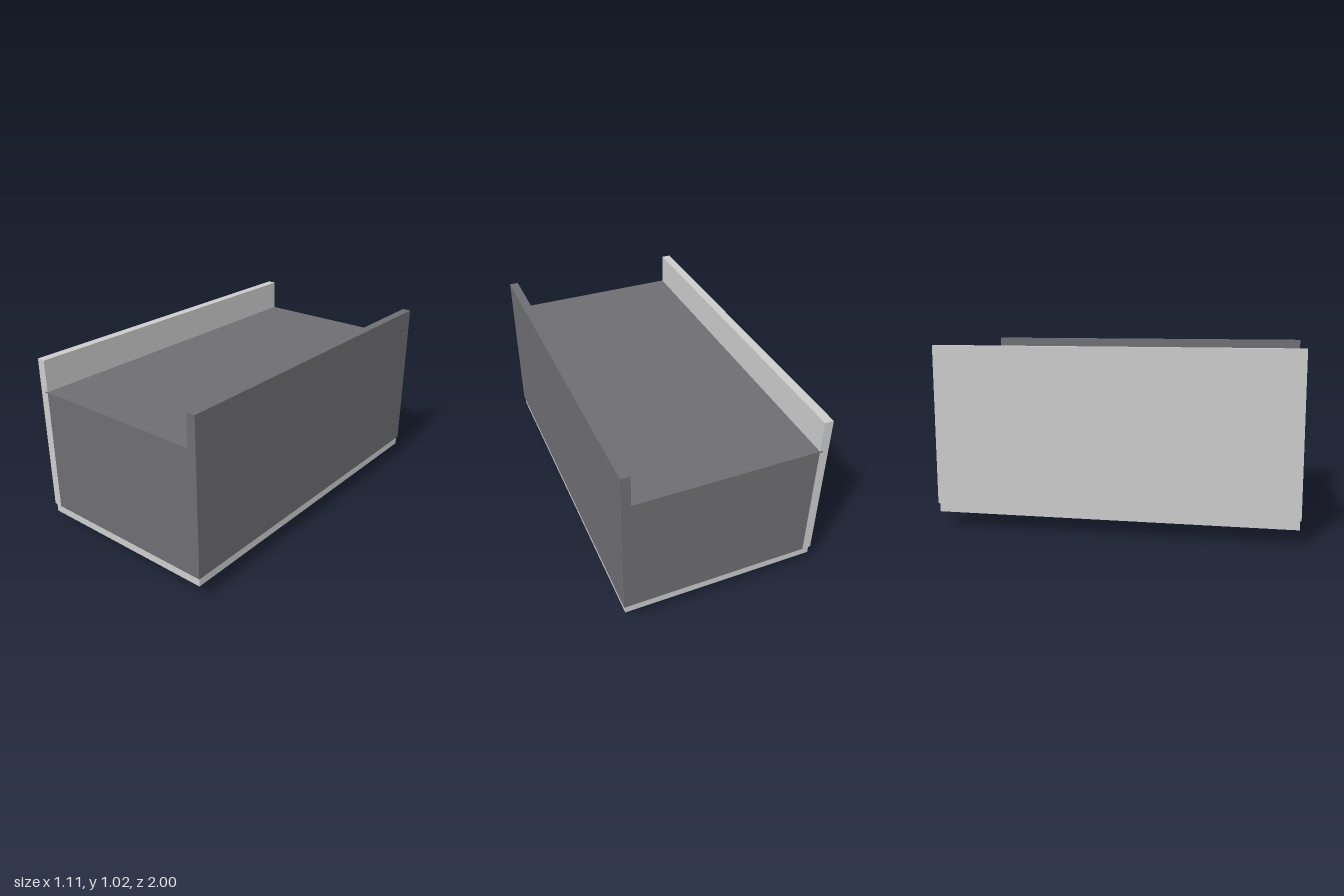
import * as THREE from 'three';

export function createModel() {
  const model = new THREE.Group();
  model.name = 'wallCabinet';
  const light = new THREE.MeshStandardMaterial({ color: 0xcccccc });
  const dark = new THREE.MeshStandardMaterial({ color: 0x6e6e73 });

  // Box given by its lower and upper corners
  const panel = (name, min, max, material) => {
    const size = max.map((v, i) => v - min[i]);
    const mesh = new THREE.Mesh(new THREE.BoxGeometry(...size), material);
    mesh.position.set(...max.map((v, i) => (v + min[i]) / 2));
    mesh.name = name;
    model.add(mesh);
  };

  // Long side panels, one light and one dark
  panel('rightSidePanel', [-0.555, 0.137, -1], [-0.505, 1.022, 1], light);
  panel('leftSidePanel', [0.505, 0.137, -1], [0.555, 1.022, 1], dark);

  // End panels between the sides
  for (const s of [-1, 1]) {
    const z = [s * 0.95, s].sort((a, b) => a - b);
    panel(s > 0 ? 'frontEndPanel' : 'backEndPanel', [-0.505, 0.137, z[0]], [0.505, 0.835, z[1]], dark);
  }

  // Thin sheet let into grooves in the sides
  panel('thinTopSheet', [-0.522, 0.835, -1.0005], [0.522, 0.843, 1.0005], dark);

  // Door closing the underside, slightly smaller than the carcass
  panel('door', [-0.548, 0.087, -0.993], [0.548, 0.1355, 0.993], light);

  // Bar handle on two posts
  const handle = new THREE.Group();
  handle.name = 'handle';
  handle.position.set(0.402, 0.0145, -0.733);
  const bar = new THREE.Mesh(new THREE.CylinderGeometry(0.0135, 0.0135, 0.274, 24), dark);
  bar.rotation.x = Math.PI / 2;
  bar.name = 'handleBar';
  handle.add(bar);
  for (const s of [-1, 1]) {
    const post = new THREE.Mesh(new THREE.CylinderGeometry(0.0075, 0.0075, 0.074, 16), dark);
    post.position.set(0, 0.037, s * 0.067);
    post.name = 'handlePost';
    handle.add(post);
  }
  model.add(handle);
  return model;
}
